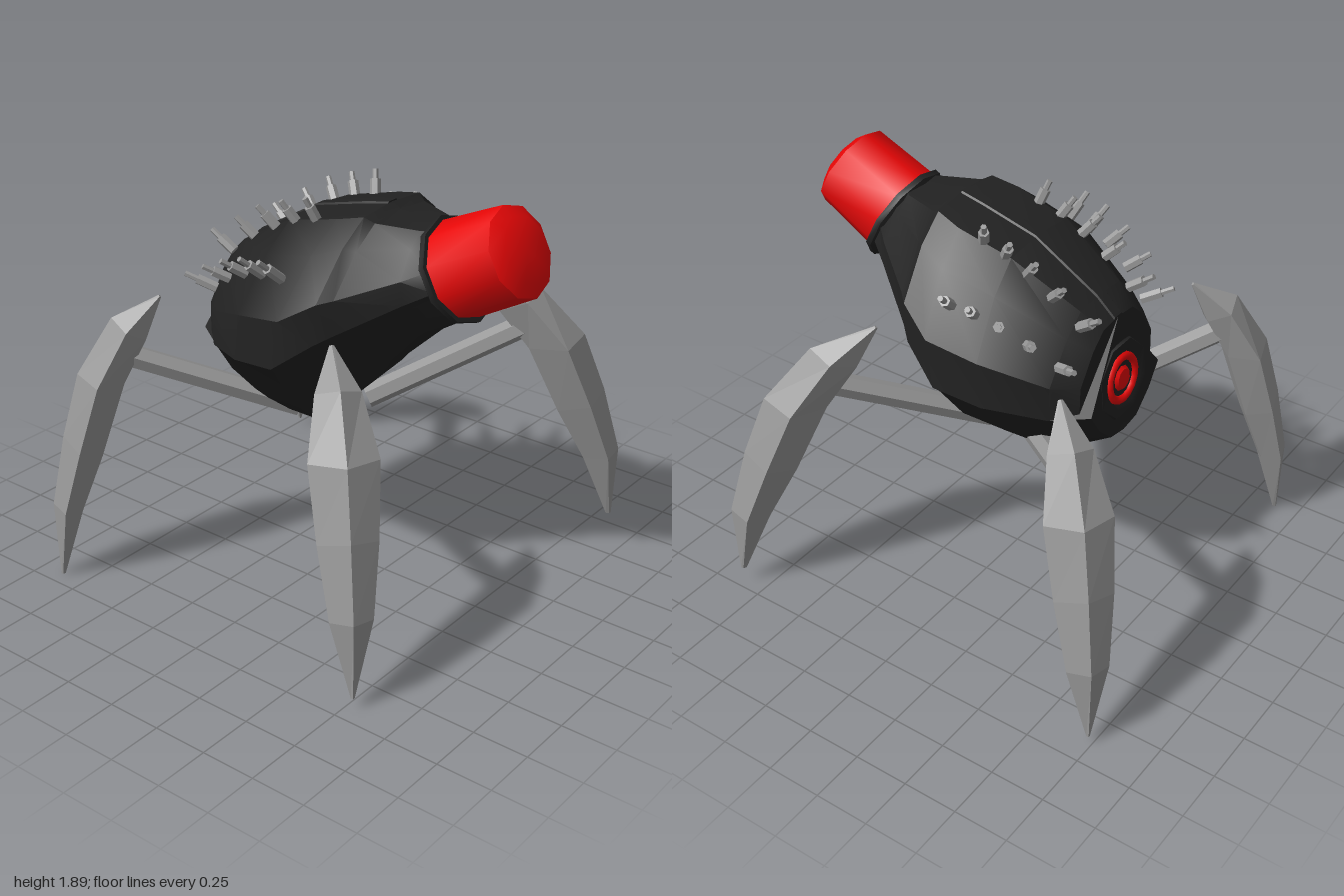
import * as THREE from 'three';
import { toCreasedNormals } from 'three/addons/utils/BufferGeometryUtils.js';

const V = (x, y, z = 0) => new THREE.Vector3(x, y, z);
const black = new THREE.MeshStandardMaterial({ color: 0x222222 });
const red = new THREE.MeshStandardMaterial({ color: 0xe80606 });
const grey = new THREE.MeshStandardMaterial({ color: 0x999999, flatShading: true });

// Skin a list of equal-length rings and close both ends
function loft(rings) {
  const n = rings[0].length, pos = [], idx = [];
  rings.flat().forEach(p => pos.push(p.x, p.y, p.z));
  for (let i = 0; i < rings.length - 1; i++) {
    for (let j = 0; j < n; j++) {
      const a = i * n + j, b = i * n + (j + 1) % n;
      idx.push(a, b, b + n, a, b + n, a + n);
    }
  }
  const end = (rings.length - 1) * n;
  for (let j = 1; j < n - 1; j++) {
    idx.push(0, j + 1, j, end, end + j, end + j + 1);
  }
  const g = new THREE.BufferGeometry();
  g.setAttribute('position', new THREE.Float32BufferAttribute(pos, 3));
  g.setIndex(idx);
  g.computeVertexNormals();
  return g;
}

function add(parent, name, geometry, material) {
  const m = new THREE.Mesh(geometry, material);
  m.name = name;
  parent.add(m);
  return m;
}

// Turned part with a flat side facing z
const lathe = (pts, sides) =>
  toCreasedNormals(new THREE.LatheGeometry(pts.map(p => new THREE.Vector2(...p)), sides), 0.68)
    .rotateY(Math.PI / sides);

// Straight rod between two points
function rod(parent, name, a, b, r, material) {
  const d = b.clone().sub(a);
  const m = add(parent, name, new THREE.CylinderGeometry(r, r, d.length(), 6), material);
  m.position.copy(a).addScaledVector(d, 0.5);
  m.quaternion.setFromUnitVectors(V(0, 1), d.normalize());
}

// Body sections: top x, y, bottom x, y, half width, backward step of the belly
const SECTIONS = [
  [-0.5, 1.45, -0.5, 0.89, 0.28, 0.05],
  [-0.41, 1.53, -0.4, 0.8, 0.37, 0],
  [-0.1, 1.71, -0.2, 0.76, 0.51, 0],
  [0.16, 1.775, 0.0, 0.765, 0.54, 0],
  [0.28, 1.8, 0.21, 0.97, 0.48, 0],
  [0.32, 1.775, 0.28, 1.05, 0.43, 0],
  [0.5, 1.76, 0.55, 1.3, 0.27, 0],
  [0.53, 1.76, 0.71, 1.4, 0.2, 0],
];
// Half cross-section: depth from top, width; includes the seam above the belly
const PROFILE = [[0, 0], [0.02, 0.4], [0.14, 0.67], [0.38, 0.99], [0.6, 1], [0.62, 0.95],
  [0.81, 0.7], [0.97, 0.36], [1, 0]];

function bodyRing([xt, yt, xb, yb, w, step]) {
  const at = ([f, k], s) =>
    V(xt + (xb - xt) * f - (f > 0.61 ? step : 0), yt + (yb - yt) * f, s * k * w);
  const left = PROFILE.map(p => at(p, 1));
  const right = PROFILE.slice(1, -1).reverse().map(p => at(p, -1));
  return [...left, ...right];
}

// Leg blade sections measured from its top: outer reach, y, inner reach, y, half width
const BLADE = [
  [0.01, 0, 0, -0.01, 0.01],
  [0.23, -0.09, 0.08, -0.19, 0.095],
  [0.4, -0.34, 0.19, -0.38, 0.145],
  [0.485, -0.63, 0.31, -0.72, 0.125],
  [0.555, -0.96, 0.42, -0.99, 0.09],
  [0.545, -1.32, 0.525, -1.32, 0.008],
];
const bladeRing = ([ro, yo, ri, yi, w]) => {
  const at = (t, z) => V(ro + (ri - ro) * t, yo + (yi - yo) * t, z * w);
  return [at(0, 0), at(0.4, 1), at(1, 0.35), at(1, -0.35), at(0.4, -1)];
};

// Legs: hip point, blade top, blade tip
const LEGS = [
  [V(0.01, 0.79, 0.14), V(0.35, 1.35, 0.51), V(0.78, 0.06, 0.92)],
  [V(0.06, 0.79, -0.11), V(0.37, 1.35, -0.5), V(0.86, 0.09, -0.96)],
  [V(-0.15, 0.79, -0.1), V(-0.55, 1.35, -0.49), V(-0.98, 0.05, -0.89)],
  [V(-0.13, 0.79, 0.14), V(-0.54, 1.35, 0.56), V(-0.88, 0.01, 0.93)],
];

// Back spines for one side: base xyz, tip xyz
const SPINES = [
  [-0.43, 1.47, 0.19, -0.54, 1.55, 0.21],
  [-0.3, 1.57, 0.2, -0.38, 1.65, 0.23],
  [-0.18, 1.64, 0.2, -0.25, 1.73, 0.24],
  [-0.07, 1.69, 0.2, -0.12, 1.78, 0.24],
  [0.04, 1.72, 0.2, 0.01, 1.82, 0.24],
  [-0.42, 1.34, 0.32, -0.54, 1.4, 0.39],
  [-0.3, 1.43, 0.37, -0.38, 1.49, 0.45],
  [-0.18, 1.49, 0.4, -0.24, 1.56, 0.49],
  [-0.07, 1.52, 0.42, -0.11, 1.61, 0.52],
  [0.04, 1.53, 0.43, 0.01, 1.63, 0.54],
];

export function createModel() {
  const model = new THREE.Group();
  model.name = 'walker';
  const torso = new THREE.Group();
  torso.name = 'torso';
  torso.position.z = 0.015;
  model.add(torso);

  add(torso, 'body', toCreasedNormals(loft(SECTIONS.map(bodyRing)), 0.5), black);

  // Raised strip along the spine
  const strip = SECTIONS.slice(0, 5).map(([x, y]) =>
    [V(x, y + 0.005, -0.025), V(x, y + 0.005, 0.025), V(x, y - 0.02, 0.045), V(x, y - 0.02, -0.045)]);
  add(torso, 'dorsalStrip', toCreasedNormals(loft(strip), 0.5), black);

  // Snout with its collar, tilted upward
  const snout = new THREE.Group();
  snout.name = 'snout';
  snout.position.set(0.615, 1.58, 0);
  snout.rotation.z = -Math.PI / 2 + 0.465;
  torso.add(snout);
  add(snout, 'collar', lathe([[0, -0.03], [0.21, -0.03], [0.232, -0.01], [0.232, 0.015], [0, 0.015]], 10), black);
  add(snout, 'snoutTube', lathe([[0.212, 0], [0.197, 0.325], [0.14, 0.36], [0, 0.365]], 10), red);

  // Round port on the rear face
  const port = new THREE.Group();
  port.name = 'rearPort';
  port.position.set(-0.527, 1.15, 0);
  port.rotation.z = Math.PI / 2 - 0.09;
  torso.add(port);
  add(port, 'portRim', lathe([[0.2, -0.02], [0.18, 0.012], [0.14, 0.012], [0.125, 0.002], [0, 0.002]], 8), black);
  const ring = add(port, 'portRing', new THREE.TorusGeometry(0.1, 0.02, 8, 16), red);
  ring.rotation.x = Math.PI / 2;
  add(port, 'portCore', lathe([[0.06, 0], [0.045, 0.015], [0, 0.02]], 10), red);

  // Paired spines, each a thick socket with a thin pin
  for (const s of [1, -1]) {
    for (const [x, y, z, u, v, w] of SPINES) {
      const a = V(x, y, z * s), b = V(u, v, w * s), mid = a.clone().lerp(b, 0.62);
      rod(torso, 'spineSocket', a, mid, 0.024, grey);
      rod(torso, 'spinePin', mid, b, 0.013, grey);
    }
  }

  // Four legs spread diagonally from under the belly
  const bladeGeometry = loft(BLADE.map(bladeRing));
  for (const [hip, top, tip] of LEGS) {
    const leg = new THREE.Group();
    leg.name = 'leg';
    model.add(leg);
    const knee = top.clone().lerp(tip, 0.4).setY(1.1);
    rod(leg, 'legStrut', hip, knee, 0.053, grey);
    const d = tip.clone().sub(top);
    const blade = add(leg, 'legBlade', bladeGeometry, grey);
    blade.position.copy(top);
    blade.rotation.y = -Math.atan2(d.z, d.x);
    blade.scale.set(Math.hypot(d.x, d.z) / 0.535, -d.y / 1.32, 1);
  }
  return model;
}
